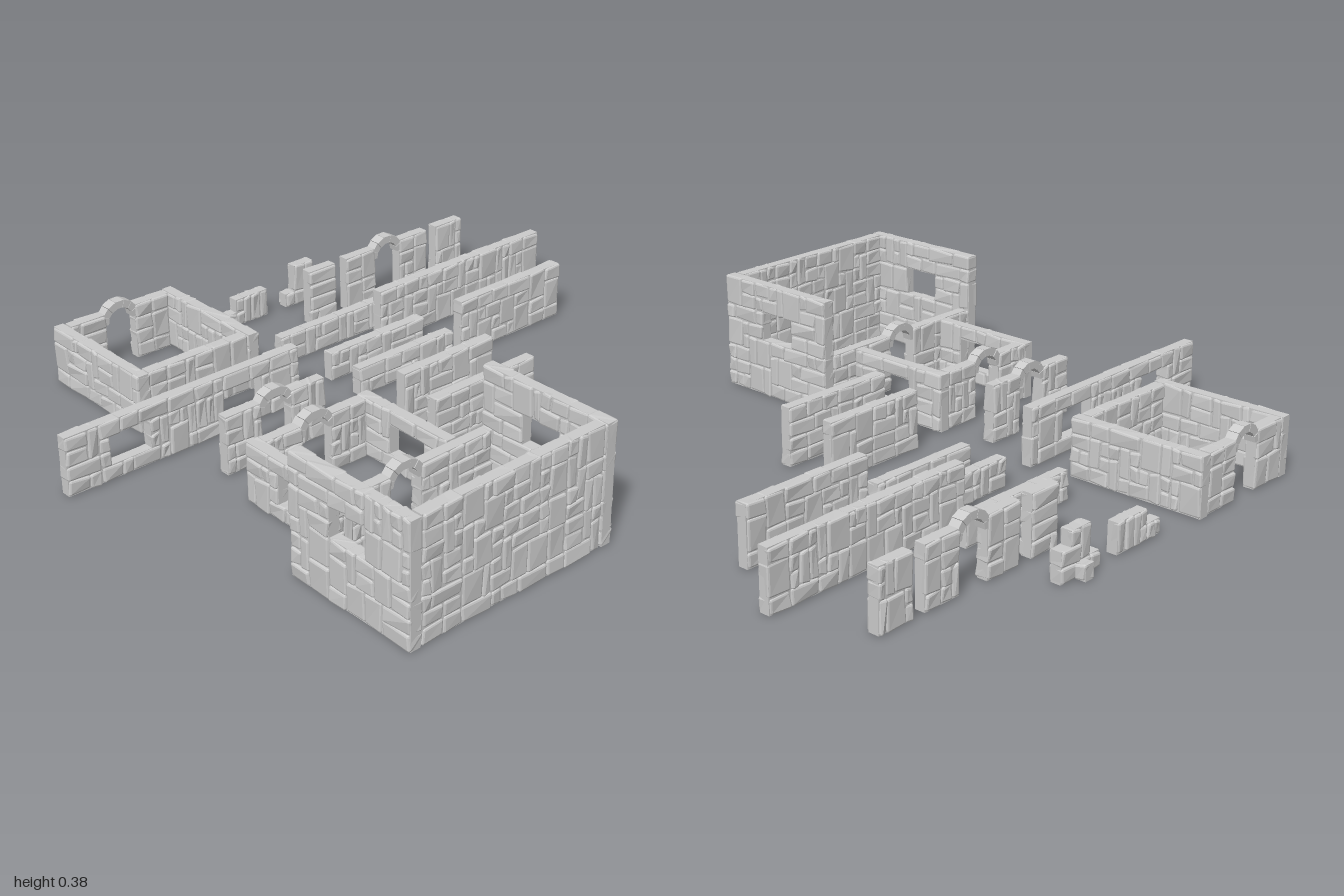
import * as THREE from 'three';
import { mergeGeometries } from 'three/addons/utils/BufferGeometryUtils.js';
import { RoundedBoxGeometry } from 'three/addons/geometries/RoundedBoxGeometry.js';

const COURSE = 0.047; // height of one course of stone
const THICK = 0.045;  // wall thickness

let seed = 7;
function rnd() {
  seed = (seed * 16807) % 2147483647;
  return seed / 2147483647;
}
const jitter = (a) => (rnd() * 2 - 1) * a;

const material = new THREE.MeshStandardMaterial({ color: 0xcccccc, flatShading: true });

// One rough block with chamfered edges and shifted corners, plus the mortar behind its joints
function stone(u0, u1, y0, y1) {
  const w = u1 - u0, h = y1 - y0;
  const block = new RoundedBoxGeometry(w - 0.002, h - 0.002, THICK + jitter(0.003), 1, 0.006);
  const shift = Array.from({ length: 8 }, () => [jitter(0.003), jitter(0.003), jitter(0.003)]);
  const p = block.attributes.position;
  for (let i = 0; i < p.count; i++) {
    const s = shift[(p.getX(i) > 0 ? 1 : 0) + (p.getY(i) > 0 ? 2 : 0) + (p.getZ(i) > 0 ? 4 : 0)];
    p.setXYZ(i, p.getX(i) + s[0], p.getY(i) + s[1], p.getZ(i) + s[2]);
  }
  const mortar = new THREE.BoxGeometry(w, h, THICK - 0.012).toNonIndexed();
  return [block, mortar].map((g) => g.translate((u0 + u1) / 2, Math.max((y0 + y1) / 2, h / 2 + 0.001), 0));
}

// Half ring of wedge stones over a doorway
function arch(u) {
  const parts = [], n = 7, R = 0.07, r = 0.045;
  for (let i = 0; i < n; i++) {
    const a = (Math.PI * i) / n + 0.01, b = (Math.PI * (i + 1)) / n - 0.01;
    const pts = [[r, a], [R, a], [R, b], [r, b]].map(([q, t]) => new THREE.Vector2(q * Math.cos(t), q * Math.sin(t)));
    const depth = 0.036 + jitter(0.003);
    const g = new THREE.ExtrudeGeometry(new THREE.Shape(pts), { depth, bevelEnabled: false });
    parts.push(g.translate(u, 0.15, -depth / 2));
  }
  return parts;
}

// Wall running along its own u axis; openings are [from, to, first course, end course]
function wallGeometry(from, to, rows, openings, archAt) {
  const holes = [...openings];
  if (archAt !== null) holes.push([archAt - 0.055, archAt + 0.055, 0, rows]);
  const breaks = [...new Set([from, to, ...holes.flatMap((o) => [o[0], o[1]])])].sort((a, b) => a - b);
  const edges = [from];
  for (let i = 1; i < breaks.length; i++) {
    const a = breaks[i - 1], b = breaks[i], n = Math.max(1, Math.round((b - a) / 0.034));
    for (let k = 1; k <= n; k++) edges.push(a + ((b - a) * k) / n + (k < n ? jitter(0.005) : 0));
  }
  const cols = edges.length - 1;
  const used = Array.from({ length: rows }, (_, r) => Array.from({ length: cols }, (_, c) => {
    const m = (edges[c] + edges[c + 1]) / 2;
    return holes.some((o) => m > o[0] && m < o[1] && r >= o[2] && r < o[3]);
  }));
  const free = (r, c, h, w) => {
    for (let i = r; i < r + h; i++) for (let j = c; j < c + w; j++) {
      if (i >= rows || j >= cols || used[i][j]) return false;
    }
    return true;
  };
  const sizes = [[1, 2], [1, 2], [1, 3], [2, 1], [2, 2], [1, 1]];
  const parts = [];
  for (let r = 0; r < rows; r++) for (let c = 0; c < cols; c++) {
    if (used[r][c]) continue;
    let [h, w] = sizes[Math.floor(rnd() * sizes.length)];
    if (!free(r, c, h, w)) [h, w] = free(r, c, 1, 2) ? [1, 2] : [1, 1];
    for (let i = r; i < r + h; i++) for (let j = c; j < c + w; j++) used[i][j] = true;
    parts.push(...stone(edges[c], edges[c + w], r * COURSE, (r + h) * COURSE));
  }
  if (archAt !== null) parts.push(...arch(archAt));
  return mergeGeometries(parts);
}

export function createModel() {
  seed = 7;
  const model = new THREE.Group();
  model.name = 'stoneRuins';

  const add = (parent, name, axis, at, from, to, { rows = 4, openings = [], archAt = null } = {}) => {
    const mesh = new THREE.Mesh(wallGeometry(from, to, rows, openings, archAt), material);
    mesh.name = name;
    if (axis === 'z') {
      mesh.rotation.y = -Math.PI / 2;
      mesh.position.x = at;
    } else mesh.position.z = at;
    parent.add(mesh);
  };
  const group = (name) => {
    const g = new THREE.Group();
    g.name = name;
    model.add(g);
    return g;
  };

  // Small closed room with an arched door
  const small = group('smallRoom');
  add(small, 'backWall', 'x', 0.215, -0.892, -0.438);
  add(small, 'frontWall', 'x', 0.622, -0.892, -0.438);
  add(small, 'doorWall', 'z', -0.87, 0.238, 0.6, { archAt: 0.42 });
  add(small, 'sideWall', 'z', -0.46, 0.238, 0.6);

  // Room with windows, joined to the tall hall by a low arched wall
  const annex = group('windowRoom');
  const low = { openings: [[0.205, 0.345, 1, 3]] };
  add(annex, 'backWall', 'x', 0.215, 0.068, 0.437, low);
  add(annex, 'frontWall', 'x', 0.622, 0.068, 0.437, low);
  add(annex, 'doorWall', 'z', 0.09, 0.238, 0.6, { archAt: 0.42 });
  add(annex, 'sharedDoorWall', 'z', 0.46, 0.1, 0.742, { archAt: 0.42 });

  // Tall hall, open above the shared wall
  const hall = group('tallHall');
  const high = { rows: 8, openings: [[0.588, 0.722, 4, 6]] };
  add(hall, 'backWall', 'x', 0.077, 0.436, 0.888, high);
  add(hall, 'frontWall', 'x', 0.765, 0.436, 0.888, high);
  add(hall, 'sideWall', 'z', 0.866, 0.1, 0.742, { rows: 8 });

  // Free-standing walls
  const free = group('freeWalls');
  add(free, 'windowWall', 'z', -0.295, 0.17, 0.998, { openings: [[0.315, 0.455, 1, 3], [0.715, 0.855, 1, 3]] });
  add(free, 'archWall', 'z', -0.09, 0.24, 0.6, { archAt: 0.42 });
  add(free, 'archWall', 'z', -0.685, -0.725, -0.36, { archAt: -0.543 });
  add(free, 'pillar', 'z', -0.685, -0.89, -0.77);
  add(free, 'pillar', 'z', -0.685, -0.31, -0.2);
  add(free, 'longWall', 'z', -0.415, -0.998, -0.27);
  add(free, 'mediumWall', 'z', -0.185, -0.86, -0.41);
  add(free, 'mediumWall', 'z', 0.055, -0.31, 0.055);
  add(free, 'mediumWall', 'z', 0.23, -0.31, 0.095);
  add(free, 'lowWall', 'z', -0.52, -0.38, 0.055, { rows: 2 });
  add(free, 'lowWall', 'z', -0.33, -0.38, 0.01, { rows: 2 });
  add(free, 'lowWall', 'z', -0.195, -0.38, 0.01, { rows: 2 });

  // Broken, stepped wall stubs
  add(free, 'brokenWall', 'z', -0.84, -0.38, -0.22, { rows: 3, openings: [[-0.26, -0.22, 1, 3], [-0.38, -0.34, 2, 3]] });
  add(free, 'brokenSpur', 'x', -0.305, -0.892, -0.86, { rows: 1 });
  add(free, 'brokenWall', 'z', -0.84, -0.14, 0.052, { rows: 2, openings: [[-0.01, 0.052, 1, 2]] });

  return model;
}
